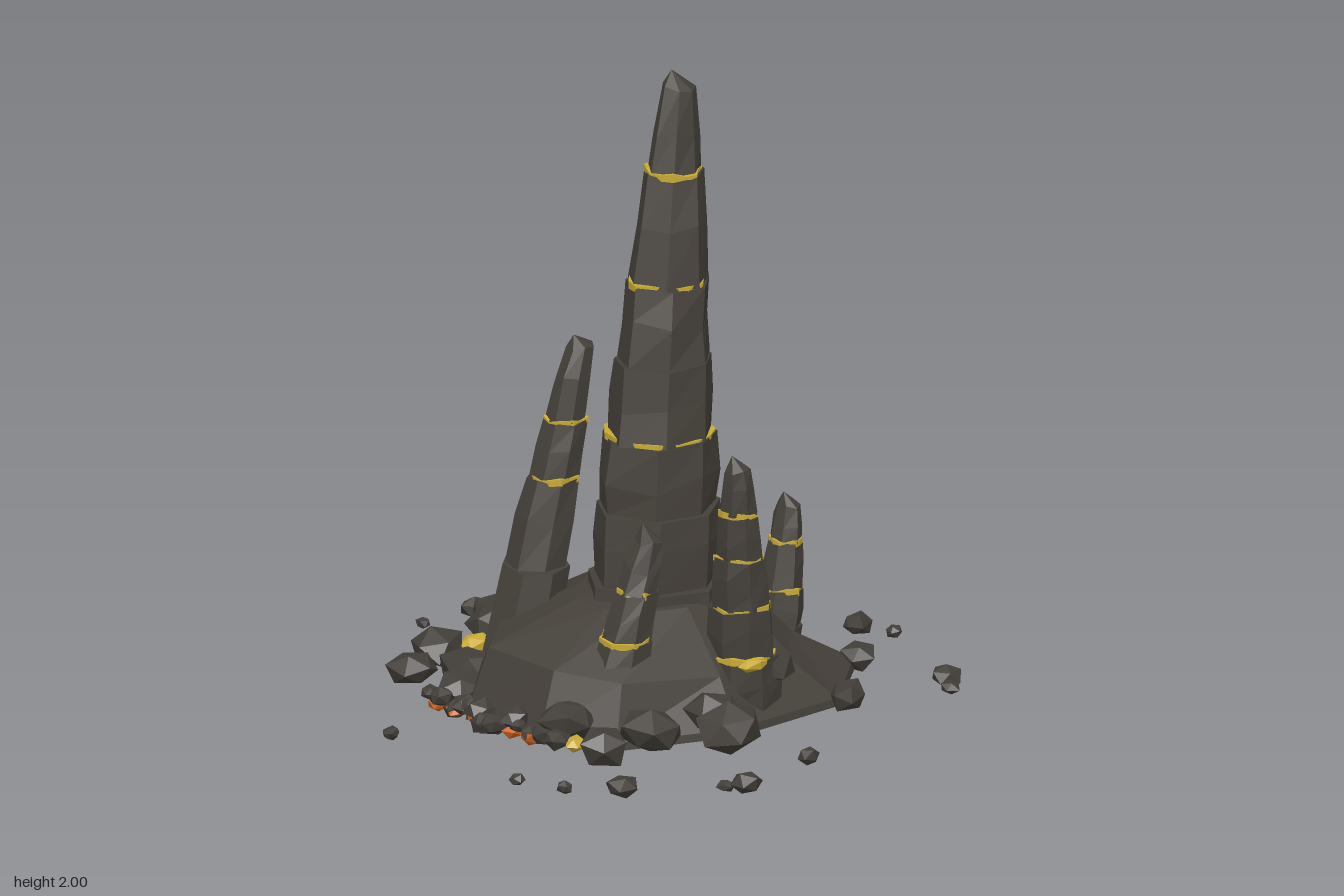
import * as THREE from 'three';

let seed = 7;
const rnd = () => (seed = (seed * 16807) % 2147483647) / 2147483647;
const vary = (mid, range) => mid + (rnd() - 0.5) * 2 * range;

// Faceted solid through a stack of rings (each a list of Vector3), capped at both ends
function loft(rings, apex) {
  const pos = [];
  const tri = (...pts) => pts.forEach((p) => pos.push(p.x, p.y, p.z));
  const n = rings[0].length;
  const middle = (ring) => ring.reduce((s, p) => s.add(p), new THREE.Vector3()).divideScalar(n);
  const first = rings[0], last = rings[rings.length - 1];
  const low = middle(first), high = apex || middle(last);
  for (let i = 0; i < n; i++) {
    const j = (i + 1) % n;
    for (let k = 0; k < rings.length - 1; k++) {
      const a = rings[k], b = rings[k + 1];
      tri(a[i], b[i], a[j]);
      tri(b[i], b[j], a[j]);
    }
    tri(low, first[i], first[j]);
    tri(high, last[j], last[i]);
  }
  const geo = new THREE.BufferGeometry();
  geo.setAttribute('position', new THREE.Float32BufferAttribute(pos, 3));
  geo.computeVertexNormals();
  return geo;
}

// Irregular polygon ring; the shape list holds one radius factor per corner
function ring(c, r, shape, turn, lift = 0, wobble = 0) {
  return shape.map((f, i) => {
    const a = turn + (i / shape.length) * Math.PI * 2;
    return new THREE.Vector3(c.x + Math.cos(a) * r * f, c.y + lift + vary(0, wobble), c.z + Math.sin(a) * r * f);
  });
}

// Spires: foot and tip (x, z), foot radius, taper and its curve, bend of the axis, peak height, joint heights
const SPIRES = [
  { name: 'mainSpire', foot: [0, 0.01], tip: [0.205, -0.095], r: 0.212, taper: 0.75, curve: 1.5, bend: 1.6, peak: 2, joints: [0.1, 0.41, 0.64, 0.86, 1.1, 1.34, 1.68, 1.94], plain: [0.41, 0.64, 1.1] },
  { name: 'backRightSpire', foot: [-0.27, -0.33], tip: [-0.035, -0.285], r: 0.118, taper: 0.62, curve: 1.2, bend: 1, peak: 1.14, joints: [0.1, 0.42, 0.69, 0.87, 1.1], plain: [0.42] },
  { name: 'backLeftSpire', foot: [0.27, -0.17], tip: [0.165, -0.15], r: 0.145, taper: 0.5, curve: 1.2, bend: 1, peak: 0.97, joints: [0.1, 0.43, 0.7, 0.93] },
  { name: 'frontRightSpire', foot: [-0.34, 0.17], tip: [-0.2, 0.2], r: 0.095, taper: 0.52, curve: 1.2, bend: 1.1, peak: 0.69, joints: [0.1, 0.32, 0.47, 0.63] },
  { name: 'frontSpire', foot: [0.06, 0.36], tip: [0.01, 0.375], r: 0.112, taper: 0.64, curve: 1.3, bend: 1, peak: 0.905, joints: [0.08, 0.24, 0.4, 0.56, 0.71, 0.85] },
  { name: 'leftSpire', foot: [0.39, 0.08], tip: [0.5, 0.085], r: 0.1, taper: 0.62, curve: 1.3, bend: 0.6, peak: 0.59, joints: [0, 0.17, 0.28, 0.43, 0.54], plain: [0.17] },
];

function makeSpire({ name, foot, tip, r, taper, curve, bend, peak, joints, plain = [] }, rock, gold) {
  const group = new THREE.Group();
  group.name = name;
  const sides = 7, start = joints[0], end = joints[joints.length - 1];
  const base = Array.from({ length: sides }, () => vary(1, 0.07));
  const turn = rnd() * 3;
  const shapeOf = (range) => base.map((f) => f * vary(1, range));
  const along = (y) => (y - start) / (end - start);
  const radius = (y) => r * (1 - taper * along(y) ** curve);
  const centre = (y) => {
    const t = along(y) ** bend;
    return new THREE.Vector3(foot[0] + (tip[0] - foot[0]) * t, y, foot[1] + (tip[1] - foot[1]) * t);
  };
  const add = (geo, mat, part) => {
    const mesh = new THREE.Mesh(geo, mat);
    mesh.name = part;
    group.add(mesh);
  };
  joints.slice(1).forEach((y1, i) => {
    const y0 = joints[i], ym = (y0 + y1) / 2, isTop = y1 === end;
    const twist = turn + vary(0, 0.18);
    const shape = shapeOf(0.04);
    // Each block ends slightly wider than the next one begins, leaving a ledge
    const rings = [
      ring(centre(y0), radius(y0), shape, twist),
      ring(centre(ym), radius(ym) * 1.05, shapeOf(0.05), twist, 0, 0.03),
      ring(centre(y1), radius(y1) * (isTop ? 1 : 1.08), shape, twist, 0, 0.01),
    ];
    const apex = centre(end).setY(peak);
    apex.x -= radius(end) * 0.6;
    add(loft(rings, isTop ? apex : undefined), rock, 'spireBlock');
    if (isTop || plain.includes(y1)) return;
    // Ragged gold seam, partly buried in the joint
    const seam = shape.flatMap((f, k) => [f, (f + shape[(k + 1) % sides]) * 0.46]).map((f) => f * vary(1.04, 0.075));
    add(loft([ring(centre(y1), radius(y1), seam, twist, -0.008, 0.004), ring(centre(y1), radius(y1), seam, twist, 0.009, 0.008)]), gold, 'goldSeam');
  });
  return group;
}

// Mound corners (x, z)
const MOUND = [[0.57, -0.2], [0.61, 0.27], [0.32, 0.5], [-0.1, 0.49], [-0.46, 0.33], [-0.57, 0.1], [-0.6, -0.2], [-0.36, -0.42], [0, -0.59], [0.2, -0.48]];

// Larger rocks round the foot: x, z, radius
const ROCKS = [
  [0.05, -0.85, 0.05], [0.06, -0.78, 0.07], [0.18, -0.73, 0.04], [0.57, -0.7, 0.045], [0.57, -0.46, 0.06], [0.55, -0.31, 0.06],
  [0.53, -0.22, 0.05], [-0.04, -0.65, 0.09], [0.09, -0.62, 0.06], [-0.31, -0.63, 0.08], [-0.48, -0.57, 0.07], [0.81, 0.06, 0.05],
  [0.61, 0.28, 0.06], [0.7, 0.58, 0.05], [0.33, 0.53, 0.07], [-0.11, 0.82, 0.045], [-0.42, 0.87, 0.05], [-0.72, 0.63, 0.05],
  [-0.2, 0.56, 0.1], [-0.19, 0.48, 0.08], [-0.55, 0.37, 0.09], [-0.4, 0.42, 0.09], [-0.53, 0.19, 0.09], [-0.44, -0.36, 0.1],
  [-0.53, -0.3, 0.08], [0.13, 0.39, 0.1], [0.05, -0.44, 0.1],
];
// Pebbles further out: x, z
const PEBBLES = [[-0.13, -0.89], [0.36, -0.7], [0.875, 0.16], [0.65, 0.65], [-0.46, 0.82], [-0.83, 0.49], [-0.89, 0.34], [-0.89, -0.23]];

function rockGeometry(r) {
  const geo = new THREE.IcosahedronGeometry(1, 0);
  const p = geo.attributes.position, v = new THREE.Vector3(), s = rnd() * 20;
  for (let i = 0; i < p.count; i++) {
    v.fromBufferAttribute(p, i);
    v.multiplyScalar(1 + 0.16 * Math.sin(v.x * 7 + v.y * 13 + v.z * 5 + s));
    p.setXYZ(i, v.x, v.y, v.z);
  }
  geo.rotateX(rnd() * 6).rotateY(rnd() * 6).scale(r * vary(1, 0.12), r * 0.75, r * vary(1, 0.12));
  geo.computeVertexNormals();
  return geo;
}

export function createModel() {
  seed = 7;
  const colour = (name, color) => {
    const mat = new THREE.MeshStandardMaterial({ color });
    mat.name = name;
    return mat;
  };
  const rock = colour('rock', 0x443f39);
  const looseRock = colour('loose rock', 0x413d38);
  const gold = colour('gold', 0xc9aa35);
  const lava = colour('orange glow', 0xd2641e);
  const baseRock = colour('base rock', 0x3a3432);

  const model = new THREE.Group();
  model.name = 'rockSpires';
  const add = (geo, mat, name) => {
    const mesh = new THREE.Mesh(geo, mat);
    mesh.name = name;
    model.add(mesh);
    return mesh;
  };

  // Mound, steeper and higher towards its right and back, with a dark underside
  const level = (scale, y) => MOUND.map(([x, z]) => new THREE.Vector3(x * scale, y, z * scale));
  const shoulder = MOUND.map(([x, z]) => {
    const s = 0.78 - 0.16 * x;
    return new THREE.Vector3(x * s, 0.22 - 0.05 * x - 0.05 * z, z * s);
  });
  add(loft([level(1, 0.035), level(0.99, 0.06), shoulder, level(0.42, 0.37)], new THREE.Vector3(0, 0.43, 0)), rock, 'mound');
  add(loft([level(0.92, 0.024), level(0.95, 0.04)]), baseRock, 'moundBase');

  SPIRES.forEach((spec) => model.add(makeSpire(spec, rock, gold)));

  // Rocks on the ground; those nearer the middle sit higher on the slope
  const addRock = (x, z, r) => {
    const slope = 0.5 * Math.max(0, 0.62 - Math.hypot(x, z));
    add(rockGeometry(r), looseRock, 'looseRock').position.set(x, 0.035 + r * 0.62 + slope, z);
  };
  ROCKS.forEach(([x, z, r]) => addRock(x, z, r));
  PEBBLES.forEach(([x, z]) => addRock(x, z, vary(0.029, 0.005)));

  // Glowing embers along the right flank, hidden among rubble
  for (let i = 0; i < 6; i++)
    add(rockGeometry(0.036), lava, 'ember').position.set(-0.6, 0.058, -0.32 + i * 0.083);
  for (let i = 0; i < 14; i++) {
    const r = vary(0.04, 0.012);
    add(rockGeometry(r), looseRock, 'rubble').position.set(vary(-0.605, 0.035), 0.06 + rnd() * 0.04, -0.33 + i * 0.042);
  }

  // Gold shards lying at the foot
  const addShard = (x, y, z, length, height, width, turn) => {
    const geo = new THREE.IcosahedronGeometry(1, 0).scale(length, height, width);
    geo.computeVertexNormals();
    const shard = add(geo, gold, 'goldShard');
    shard.position.set(x, y, z);
    shard.rotation.y = turn;
  };
  addShard(0.36, 0.08, -0.45, 0.12, 0.03, 0.062, -0.35);
  addShard(-0.17, 0.07, -0.61, 0.065, 0.03, 0.045, 0.1);
  addShard(-0.57, 0.07, 0.26, 0.05, 0.025, 0.035, 0.6);
  addShard(0.015, 0.235, 0.445, 0.07, 0.024, 0.032, 0.1);
  return model;
}
